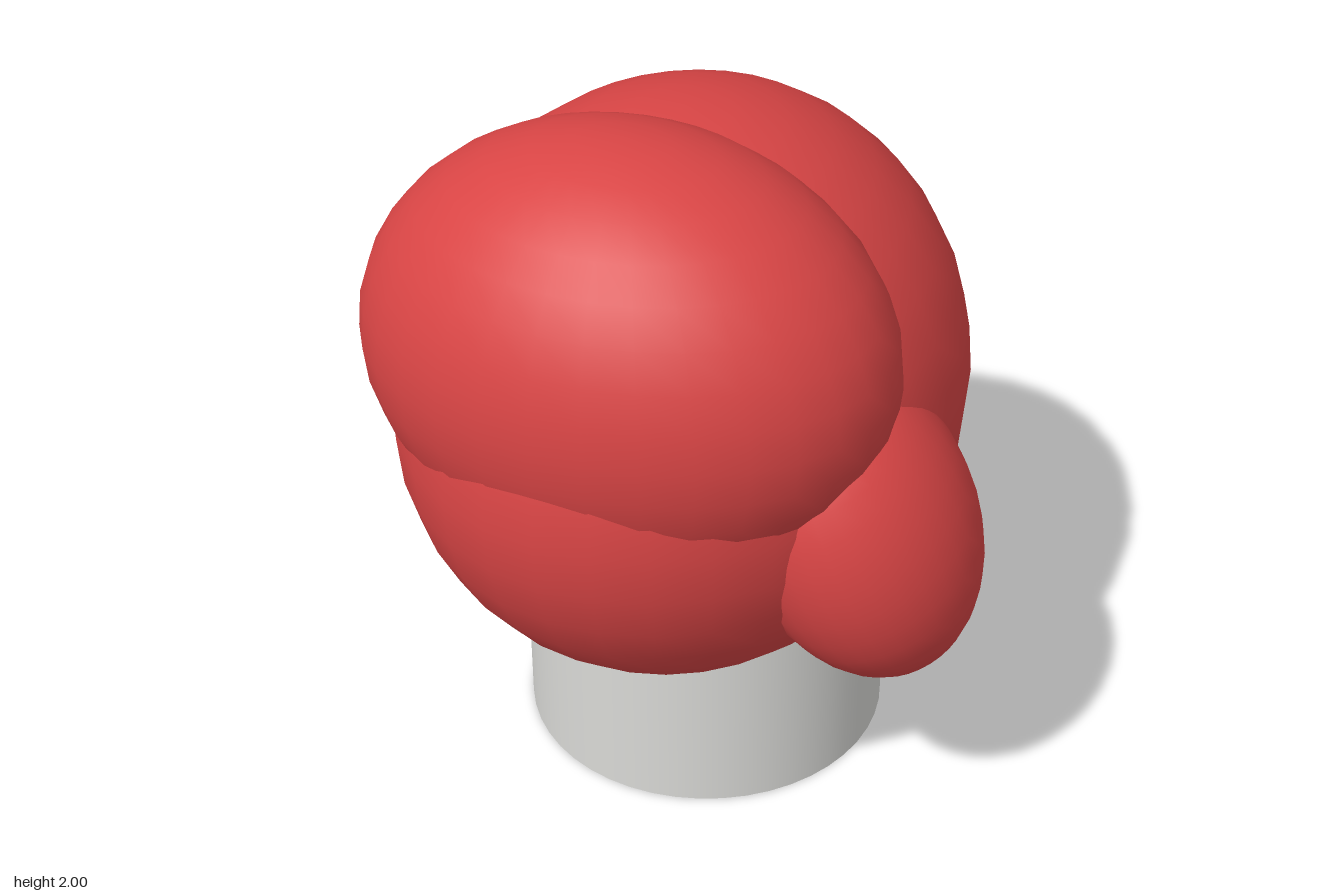
import * as THREE from 'three';

const CX = -0.085;      // the glove body sits off centre, the thumb balances it
const CUFF_Z = -0.135;

export function createModel() {
  const glove = new THREE.Group();
  glove.name = 'boxingGlove';

  const red = new THREE.MeshStandardMaterial({ color: 0xd94545 });
  red.name = 'red leather';
  const grey = new THREE.MeshStandardMaterial({ color: 0xd9d9d6 });
  grey.name = 'pale grey cuff';

  const add = (name, geometry, material, x, y, z) => {
    const mesh = new THREE.Mesh(geometry, material);
    mesh.name = name;
    mesh.position.set(x, y, z);
    glove.add(mesh);
    return mesh;
  };

  // Smooth padded volume with separate radii
  const pad = (name, centre, radii) => {
    const geometry = new THREE.SphereGeometry(1, 32, 18).scale(...radii);
    return add(name, geometry, red, ...centre);
  };

  // Upright cylinder between two heights
  const band = (name, radius, y0, y1, material) =>
    add(name, new THREE.CylinderGeometry(radius, radius, y1 - y0, 48),
      material, CX, (y0 + y1) / 2, CUFF_Z);

  // Padding
  pad('palmAndBack', [CX, 1.16, 0], [0.733, 0.77, 0.84]);
  pad('fingers', [CX, 1.43, 0.32], [0.70, 0.57, 0.523]);
  const thumb = pad('thumb', [0.495, 1.015, 0.222], [0.293, 0.453, 0.335]);
  thumb.rotation.set(0.15, 0, 0.38);

  // Wrist
  band('cuff', 0.505, 0, 0.8, grey);
  band('cuffTrim', 0.545, 0.59, 0.85, red);

  // Pull tab on the back of the cuff
  add('pullTab', new THREE.BoxGeometry(0.17, 0.5, 0.055), grey, CX, 0.5, -0.6625);

  return glove;
}
